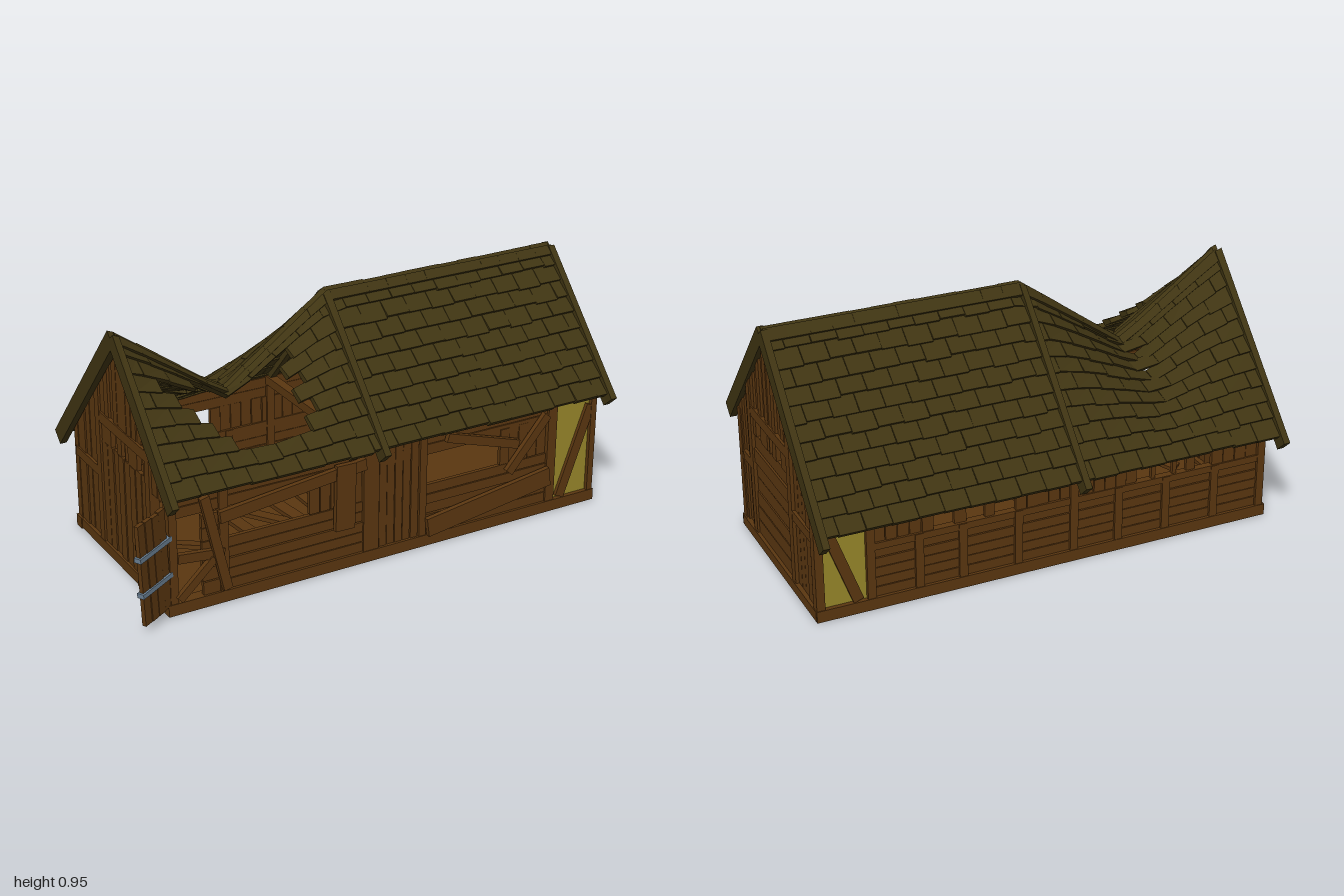
import * as THREE from 'three';
import { mergeGeometries } from 'three/addons/utils/BufferGeometryUtils.js';

const mat = (name, color) => {
  const m = new THREE.MeshStandardMaterial({ color, flatShading: true, side: THREE.DoubleSide });
  m.name = name;
  return m;
};
const wood = mat('brown wood', 0x5a3610);
const moss = mat('mossy shingle', 0x3f3412);
const plaster = mat('yellow plaster', 0x97862a);
const iron = mat('grey iron', 0x6a7f92);

let seed = 7;
const rnd = () => (seed = (seed * 16807) % 2147483647) / 2147483647;
const jit = (a) => (rnd() - 0.5) * 2 * a;

// Roof surface: two slopes from the ridge; the left bay sags in a V
const RZ = 0.04, RY = 0.92, SLOPE = 1.09;
const run = (side) => (side > 0 ? 0.415 : 0.515);
function roofPoint(side, x, t, lift) {
  const d = run(side) * (1 - t);
  const v = Math.max(0, 1 - Math.abs(x + 0.45) / 0.42), tt = Math.min(1, Math.max(0, t));
  const sag = 0.3 * Math.pow(tt, 1.5) * Math.pow(v, 2 - tt);
  return [x, RY - SLOPE * d - sag + lift * 0.68, RZ + side * (d + lift * 0.73)];
}
const underRoof = (z) => RY - 0.004 - SLOPE * Math.abs(z - RZ);

// Slab lying on the roof; lo/hi are [upper end, lower end] heights off the surface
function slab(side, x0, x1, t0, t1, lo, hi, segs = 1) {
  const g = new THREE.BoxGeometry(1, 1, 1, 1, 1, segs).toNonIndexed();
  const p = g.attributes.position;
  for (let i = 0; i < p.count; i++) {
    const u = 0.5 + side * p.getX(i), down = p.getZ(i) + 0.5, e = p.getY(i) > 0 ? hi : lo;
    p.setXYZ(i, ...roofPoint(side, x0 + (x1 - x0) * u, t1 + (t0 - t1) * down, e[0] + (e[1] - e[0]) * down));
  }
  g.computeVertexNormals();
  return g;
}

const inHole = (x, z) =>
  (x > -0.59 && x < -0.24 && z > 0.07 && z < 0.36) ||
  (x > -0.66 && x < -0.58 && z > 0.1 && z < 0.31) ||
  (x > -0.73 && x < -0.58 && z > 0.13 && z < 0.23);

function buildRoof() {
  const roof = new THREE.Group();
  roof.name = 'roof';
  const add = (name, list) => {
    const m = new THREE.Mesh(mergeGeometries(list), moss);
    m.name = name;
    roof.add(m);
  };
  for (const side of [1, -1]) {
    const list = [], rows = side > 0 ? 9 : 11, step = 0.098;
    for (let r = 0; r < rows; r++) {
      for (let x = -0.855 - (r % 2) * step / 2; x < 0.97; x += step) {
        const a = Math.max(-0.855, x), b = Math.min(0.97, x + step - 0.002);
        const z = roofPoint(side, (a + b) / 2, (r + 0.5) / rows, 0)[2];
        if (b - a < 0.01 || (side > 0 && inHole((a + b) / 2, z))) continue;
        const h = jit(0.003);
        list.push(slab(side, a, b, (r + jit(0.07)) / rows, Math.min(1, (r + 1.12) / rows), [-0.006, 0.0], [0.014, 0.028 + h]));
      }
    }
    add(side > 0 ? 'frontShingles' : 'backShingles', list);
    // Verge boards at both ends and between the bays
    add(side > 0 ? 'frontVerges' : 'backVerges', [-0.868, -0.032, 0.968].map((x) =>
      slab(side, x - 0.013, x + 0.013, -0.05, 1.01, [-0.025, -0.025], [0.036, 0.036], 4)));
    // Ridge capping follows the sag
    const caps = [];
    for (let i = 0; i < 22; i++) {
      const x = -0.86 + i * 0.0832;
      caps.push(slab(side, x, x + 0.083, 0.955, 1.02, [-0.01, -0.01], [0.03 + jit(0.002), 0.033]));
    }
    add(side > 0 ? 'frontRidgeCap' : 'backRidgeCap', caps);
  }
  return roof;
}

// A wall is drawn flat in (u, y) and then turned into place
function wall(name, x, z, turn) {
  const g = new THREE.Group();
  g.name = name;
  g.position.set(x, 0, z);
  g.rotation.y = turn;
  return g;
}
function board(g, name, u0, u1, y0, y1, depth = 0.02, off = 0, m = wood) {
  const b = new THREE.Mesh(new THREE.BoxGeometry(u1 - u0, y1 - y0, depth), m);
  b.name = name;
  b.position.set((u0 + u1) / 2, (y0 + y1) / 2, off);
  g.add(b);
  return b;
}
// Slanted board from one point to another
function brace(g, name, a, b, width, off = 0.02, depth = 0.02) {
  const len = Math.hypot(b[0] - a[0], b[1] - a[1]);
  const m = board(g, name, -len / 2, len / 2, -width / 2, width / 2, depth, off);
  m.position.set((a[0] + b[0]) / 2, (a[1] + b[1]) / 2, off);
  m.rotation.z = Math.atan2(b[1] - a[1], b[0] - a[0]);
}
function rows(g, u0, u1, y0, y1, n) {
  const h = (y1 - y0) / n;
  for (let i = 0; i < n; i++) board(g, 'plank', u0, u1, y0 + i * h, y0 + (i + 1) * h - 0.003, 0.016, jit(0.004));
}
function columns(g, u0, u1, y0, y1, n) {
  const w = (u1 - u0) / n;
  for (let i = 0; i < n; i++) board(g, 'plank', u0 + i * w, u0 + (i + 1) * w - 0.003, y0, y1 - rnd() * 0.006, 0.016, jit(0.004));
}

function buildFront() {
  const g = wall('frontWall', 0, 0.38, 0);
  for (const [a, b] of [[-0.85, -0.82], [-0.655, -0.62], [-0.07, -0.005], [0.17, 0.2], [0.745, 0.785], [0.945, 0.97]])
    board(g, 'post', a, b, 0.03, 0.5, 0.035);
  rows(g, -0.62, -0.07, 0.045, 0.25, 5);
  rows(g, 0.2, 0.745, 0.045, 0.25, 5);
  columns(g, 0, 0.17, 0.045, 0.45, 5);
  columns(g, -0.29, -0.07, 0.25, 0.4, 5);
  columns(g, 0.53, 0.745, 0.25, 0.4, 5);
  rows(g, -0.82, 0.785, 0.37, 0.5, 3);
  rows(g, -0.72, -0.64, 0.045, 0.36, 6);
  board(g, 'plasterPanel', 0.785, 0.945, 0.045, 0.5, 0.012, -0.004, plaster);
  brace(g, 'panelBrace', [0.815, 0.05], [0.945, 0.41], 0.04, 0.006);
  // Loose and fallen boards
  brace(g, 'looseBoard', [0.2, 0.08], [0.75, 0.16], 0.075, 0.026);
  brace(g, 'looseBoard', [-0.66, 0.345], [-0.07, 0.41], 0.045, 0.026);
  brace(g, 'looseBoard', [-0.72, 0.44], [-0.635, 0.06], 0.035, 0.03);
  brace(g, 'looseBoard', [-0.82, 0.22], [-0.64, 0.2], 0.035, 0.015);
  brace(g, 'looseBoard', [-0.82, 0.06], [-0.68, 0.19], 0.03, 0.02);
  brace(g, 'looseBoard', [0.28, 0.43], [0.6, 0.33], 0.035, 0.024);
  brace(g, 'looseBoard', [0.56, 0.22], [0.73, 0.42], 0.035, 0.024);
  brace(g, 'looseBoard', [-0.16, 0.17], [-0.155, 0.43], 0.08, 0.03);
  return g;
}

function buildBack() {
  const g = wall('backWall', 0, -0.39, Math.PI);
  for (const x of [-0.835, -0.63, -0.42, -0.22, -0.035, 0.19, 0.41, 0.58, 0.765, 0.958])
    board(g, 'post', -x - 0.016, -x + 0.016, 0.03, x > -0.7 && x < 0.7 && x !== -0.035 ? 0.26 : 0.45, 0.035);
  rows(g, -0.75, 0.83, 0.045, 0.24, 5);
  board(g, 'rail', -0.75, 0.83, 0.235, 0.262, 0.03);
  rows(g, -0.75, 0.83, 0.365, 0.45, 2);
  // Upper slats leave the openings clear
  const gaps = [[-0.62, -0.55], [-0.51, -0.47], [-0.45, -0.38], [-0.36, -0.3], [0.2, 0.28], [0.32, 0.39], [0.44, 0.52]];
  let from = -0.82;
  for (const [a, b] of [...gaps, [0.75, 0.75]]) {
    columns(g, -a, -from, 0.26, 0.37, Math.max(1, Math.round((a - from) / 0.045)));
    from = b;
  }
  board(g, 'plasterPanel', -0.945, -0.78, 0.045, 0.45, 0.012, -0.004, plaster);
  brace(g, 'panelBrace', [-0.815, 0.05], [-0.945, 0.41], 0.04, 0.006);
  return g;
}

// Gable end; s maps the depth of the building onto the flat wall
function buildGable(name, x, s) {
  const g = wall(name, x, 0, s < 0 ? Math.PI / 2 : -Math.PI / 2);
  const span = (n, z0, z1, y0, y1, d, off) => board(g, n, Math.min(s * z0, s * z1), Math.max(s * z0, s * z1), y0, y1, d, off);
  // Vertical plank with its top cut to the roof slope
  const cut = (n, z0, z1, y0, depth = 0.016, off = 0) => {
    const shape = new THREE.Shape([[z0, y0], [z1, y0], [z1, underRoof(z1)], [z0, underRoof(z0)]].map(([z, y]) => new THREE.Vector2(s * z, y)));
    const m = new THREE.Mesh(new THREE.ExtrudeGeometry(shape, { depth, bevelEnabled: false }), wood);
    m.name = n;
    m.position.z = off - depth / 2;
    g.add(m);
  };
  const upright = (z0, z1, y0, n) => {
    for (let i = 0, w = (z1 - z0) / n; i < n; i++) cut('plank', z0 + i * w, z0 + (i + 1) * w - 0.003, y0, 0.016, jit(0.005));
  };
  upright(-0.152, RZ, 0.53, 5);
  upright(RZ, 0.228, 0.53, 5);
  upright(-0.385, -0.185, 0.045, 5);
  if (s < 0) upright(0.262, 0.385, 0.045, 3);
  else { // Doorway beside the front corner
    upright(0.355, 0.385, 0.045, 1);
    upright(0.262, 0.355, 0.42, 2);
  }
  cut('post', 0.228, 0.264, 0.03, 0.036);
  cut('post', -0.19, -0.152, 0.03, 0.036);
  if (s < 0) rows(g, -0.228, 0.152, 0.045, 0.46, 7);
  else columns(g, -0.152, 0.228, 0.045, 0.46, 8);
  for (const [a, b] of [[0.198, 0.228], [0.072, 0.148], [0.046, 0.052], [-0.022, 0.018], [-0.152, -0.073]])
    span('windowSlat', a, b, 0.455, 0.535, 0.018);
  span('lintel', -0.152, 0.228, 0.532, 0.573, 0.034);
  span('rail', -0.39, -0.152, 0.303, 0.34, 0.034);
  if (s < 0) span('rail', 0.228, 0.345, 0.303, 0.34, 0.034);
  return g;
}

function buildDoor() {
  const hinge = wall('door', -0.845, 0.385, Math.PI + 0.49);
  const leaf = new THREE.Group();
  leaf.name = 'doorLeaf';
  leaf.rotation.z = -0.06;
  hinge.add(leaf);
  columns(leaf, 0, 0.155, 0.04, 0.435, 4);
  for (const y of [0.165, 0.305]) {
    board(leaf, 'hingeStrap', -0.03, 0.16, y - 0.009, y + 0.009, 0.028, 0, iron);
    board(leaf, 'doorBatten', 0.01, 0.145, y + 0.03, y + 0.05, 0.012, 0.012);
  }
  return hinge;
}

function buildBase() {
  const g = new THREE.Group();
  g.name = 'base';
  const box = (name, x0, x1, y0, y1, z0, z1) => board(g, name, x0, x1, y0, y1, z1 - z0, (z0 + z1) / 2);
  box('floor', -0.84, 0.96, 0.016, 0.03, -0.39, 0.38);
  box('frontSill', -0.86, 0.975, 0, 0.045, 0.355, 0.4);
  box('backSill', -0.86, 0.975, 0, 0.045, -0.41, -0.365);
  for (const x of [-0.835, -0.035, 0.955]) box('crossSill', x - 0.022, x + 0.022, 0.004, 0.044, -0.405, 0.39);
  // Tie beams, and boards dropped inside below the hole
  for (const x of [-0.035, 0.46]) box('tieBeam', x - 0.018, x + 0.018, 0.42, 0.455, -0.39, 0.38);
  for (let i = 0; i < 5; i++) {
    const b = box('fallenBoard', -0.62 + i * 0.08, -0.57 + i * 0.08, 0.05, 0.066, -0.05, 0.32);
    b.rotation.set(jit(0.12) - 0.1, jit(0.7), 0);
    b.position.y = 0.09 + 0.02 * i;
  }
  return g;
}

export function createModel() {
  seed = 7;
  const model = new THREE.Group();
  model.name = 'ruinedBarn';
  const barn = new THREE.Group();
  barn.name = 'barn';
  barn.rotation.y = 0.018;
  barn.add(buildBase(), buildFront(), buildBack(), buildGable('rightGable', 0.955, -1),
    buildGable('leftGable', -0.838, 1), buildDoor(), buildRoof());
  model.add(barn);
  return model;
}
